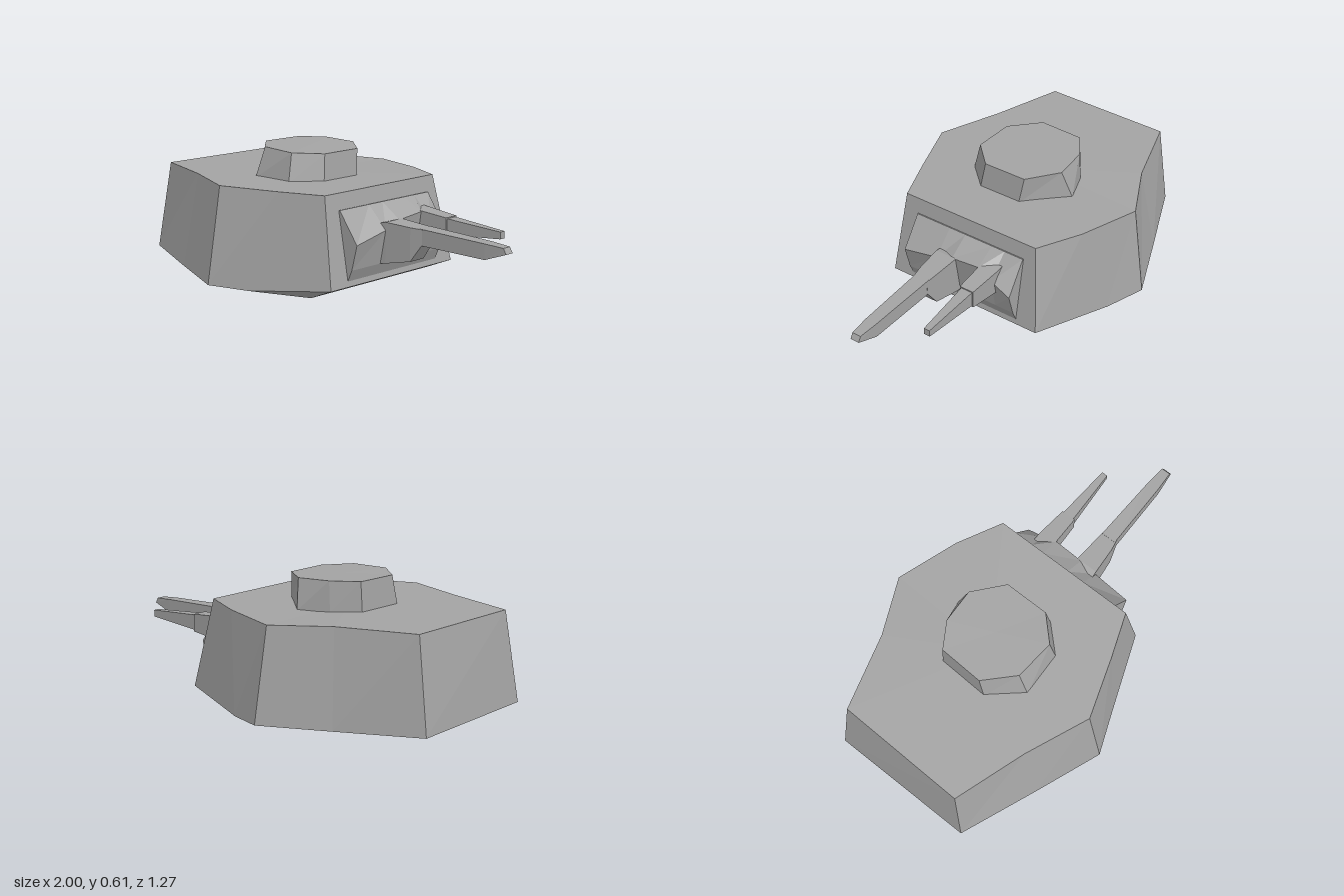
import * as THREE from 'three';

const grey = new THREE.MeshStandardMaterial({ color: 0xa3a3a3 });
grey.name = 'grey armour';

// Faceted solid through rings of matching [x, y, z] points, capped at both ends
function loft(name, rings) {
  const tris = [];
  const n = rings[0].length;
  const centre = (r) => [0, 1, 2].map((k) => r.reduce((s, p) => s + p[k], 0) / n);
  for (let r = 0; r < rings.length - 1; r++) {
    for (let i = 0; i < n; i++) {
      const j = (i + 1) % n;
      const a = rings[r][i], b = rings[r][j], c = rings[r + 1][j], d = rings[r + 1][i];
      tris.push([a, b, c], [a, c, d]);
    }
  }
  const first = rings[0], last = rings[rings.length - 1];
  const c0 = centre(first), c1 = centre(last);
  for (let i = 0; i < n; i++) {
    const j = (i + 1) % n;
    tris.push([c0, first[j], first[i]], [c1, last[i], last[j]]);
  }
  // Signed volume tells whether the faces point outward
  const v = (p) => new THREE.Vector3(...p);
  const volume = tris.reduce((s, [a, b, c]) => s + v(a).dot(v(b).cross(v(c))), 0);
  if (volume < 0) tris.forEach((t) => t.reverse());
  const geo = new THREE.BufferGeometry();
  geo.setAttribute('position', new THREE.Float32BufferAttribute(tris.flat(2), 3));
  geo.computeVertexNormals();
  const mesh = new THREE.Mesh(geo, grey);
  mesh.name = name;
  return mesh;
}

// Four-sided section across x: [x, yBottom, yTop, zMin, zMax]
const section = ([x, y0, y1, z0, z1, lean = 0]) => [
  [x, y0, z0], [x, y0, z1], [x + lean, y1, z1], [x + lean, y1, z0],
];

export function createModel() {
  const turret = new THREE.Group();
  turret.name = 'turret';

  // Hull: six-sided with tapering walls and a bevelled lower front edge
  const underside = [
    [-1, 0.04, 0.36], [-0.62, 0.027, 0.51], [-0.29, 0.016, 0.635], [-0.1, 0.01, 0.56],
    [0.17, 0, 0.42], [0.17, 0, -0.38], [-0.1, 0.01, -0.56],
    [-0.29, 0.022, -0.638], [-0.62, 0.03, -0.51], [-1, 0.04, -0.36],
  ];
  const skirt = underside.map(([x, y, z]) =>
    x > 0 ? [0.29, 0.05, Math.sign(z) * 0.412] : [x, y + 0.001, z]);
  const roof = [
    [-0.95, 0.47, 0.31], [-0.6, 0.473, 0.425], [-0.29, 0.473, 0.553], [0, 0.47, 0.455],
    [0.215, 0.47, 0.375], [0.215, 0.47, -0.355], [0, 0.465, -0.465],
    [-0.3, 0.457, -0.567], [-0.57, 0.468, -0.44], [-0.935, 0.47, -0.332],
  ];
  turret.add(loft('hull', [underside, skirt, roof]));

  // Cupola: eight-sided raised hatch
  turret.add(loft('cupola', [
    [[-0.5, 0.46, 0.11], [-0.37, 0.46, 0.26], [-0.15, 0.46, 0.25], [-0.035, 0.46, 0.13],
      [-0.035, 0.46, -0.09], [-0.22, 0.46, -0.27], [-0.37, 0.46, -0.22], [-0.49, 0.46, -0.14]],
    [[-0.49, 0.605, 0.08], [-0.36, 0.605, 0.205], [-0.16, 0.6, 0.22], [-0.05, 0.595, 0.11],
      [-0.05, 0.595, -0.11], [-0.19, 0.6, -0.225], [-0.36, 0.605, -0.215], [-0.48, 0.605, -0.14]],
  ]));

  // Mantlet: wedge across the front whose ridge height changes along z
  const ridge = [[0.3, 0.25], [0.11, 0.29], [0.02, 0.325], [-0.13, 0.34], [-0.2, 0.29], [-0.3, 0.24]];
  turret.add(loft('mantlet', ridge.map(([z, y]) => [
    [0.2, 0.08, z], [0.285, 0.075, z], [0.31, 0.13, z], [0.342, y, z], [0.235, 0.395, z], [0.2, 0.39, z],
  ])));

  // Main gun: heavy sloped housing and long tapering barrel
  turret.add(loft('mainGunHousing', [
    [0.27, 0.125, 0.31, 0, 0.115],
    [0.34, 0.135, 0.328, 0, 0.112],
    [0.48, 0.165, 0.322, 0.008, 0.1],
    [0.54, 0.25, 0.32, 0.012, 0.088],
  ].map(section)));
  turret.add(loft('mainGunBarrel', [
    [0.52, 0.246, 0.322, 0.012, 0.088],
    [0.89, 0.242, 0.313, 0.022, 0.082],
    [1, 0.282, 0.308, 0.03, 0.075, -0.015],
  ].map(section)));

  // Second gun: small housing and short thin barrel
  turret.add(loft('secondGunHousing', [
    [0.27, 0.22, 0.35, -0.22, -0.125],
    [0.33, 0.23, 0.345, -0.22, -0.13],
    [0.49, 0.245, 0.332, -0.208, -0.135],
  ].map(section)));
  turret.add(loft('secondGunBarrel', [
    [0.47, 0.25, 0.328, -0.203, -0.142],
    [0.785, 0.275, 0.308, -0.19, -0.16],
  ].map(section)));

  return turret;
}
